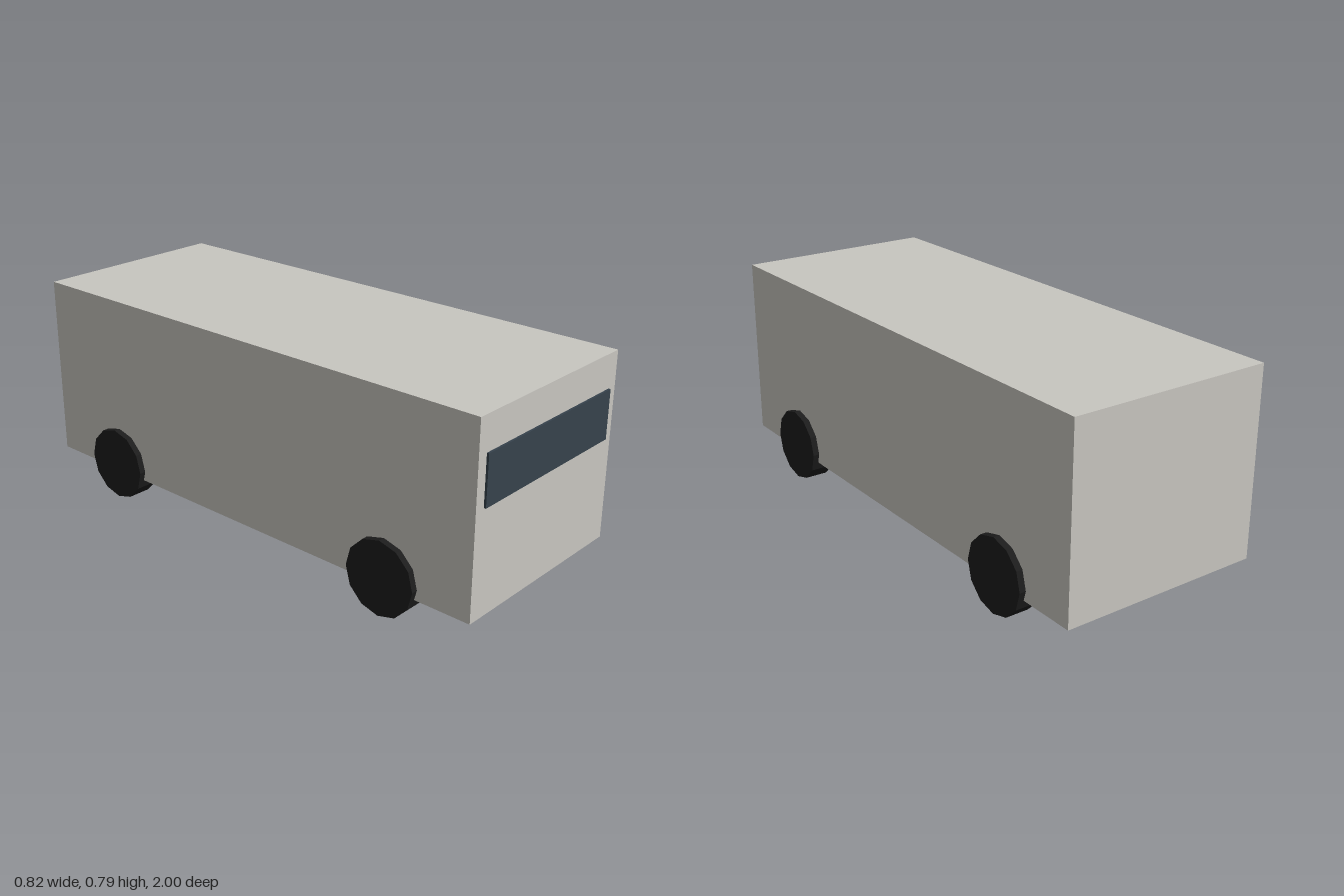
import * as THREE from 'three';

const paint = (color) => new THREE.MeshStandardMaterial({ color, flatShading: true });

export function createModel() {
  const model = new THREE.Group();
  model.name = 'van';

  const add = (name, geometry, material, x, y, z) => {
    const mesh = new THREE.Mesh(geometry, material);
    mesh.name = name;
    mesh.position.set(x, y, z);
    model.add(mesh);
  };

  // Box body, slightly short of the front to leave room for the windscreen
  const midZ = -0.004;
  add('body', new THREE.BoxGeometry(0.77, 0.69, 1.992), paint(0xc8c6c0), 0, 0.445, midZ);

  // Windscreen panel standing just proud of the front
  add('windscreen', new THREE.BoxGeometry(0.69, 0.18, 0.02), paint(0x36424c), 0, 0.575, 0.99);

  // Four twelve-sided wheels, partly sunk into the body
  const radius = 0.138;
  const wheel = new THREE.CylinderGeometry(radius, radius, 0.088, 12).rotateZ(Math.PI / 2);
  const rubber = paint(0x1c1c1c);
  for (const [side, sx] of [['Left', 1], ['Right', -1]]) {
    for (const [end, sz] of [['front', 1], ['rear', -1]]) {
      add(end + side + 'Wheel', wheel, rubber, sx * 0.365, radius, midZ + sz * 0.652);
    }
  }

  return model;
}
